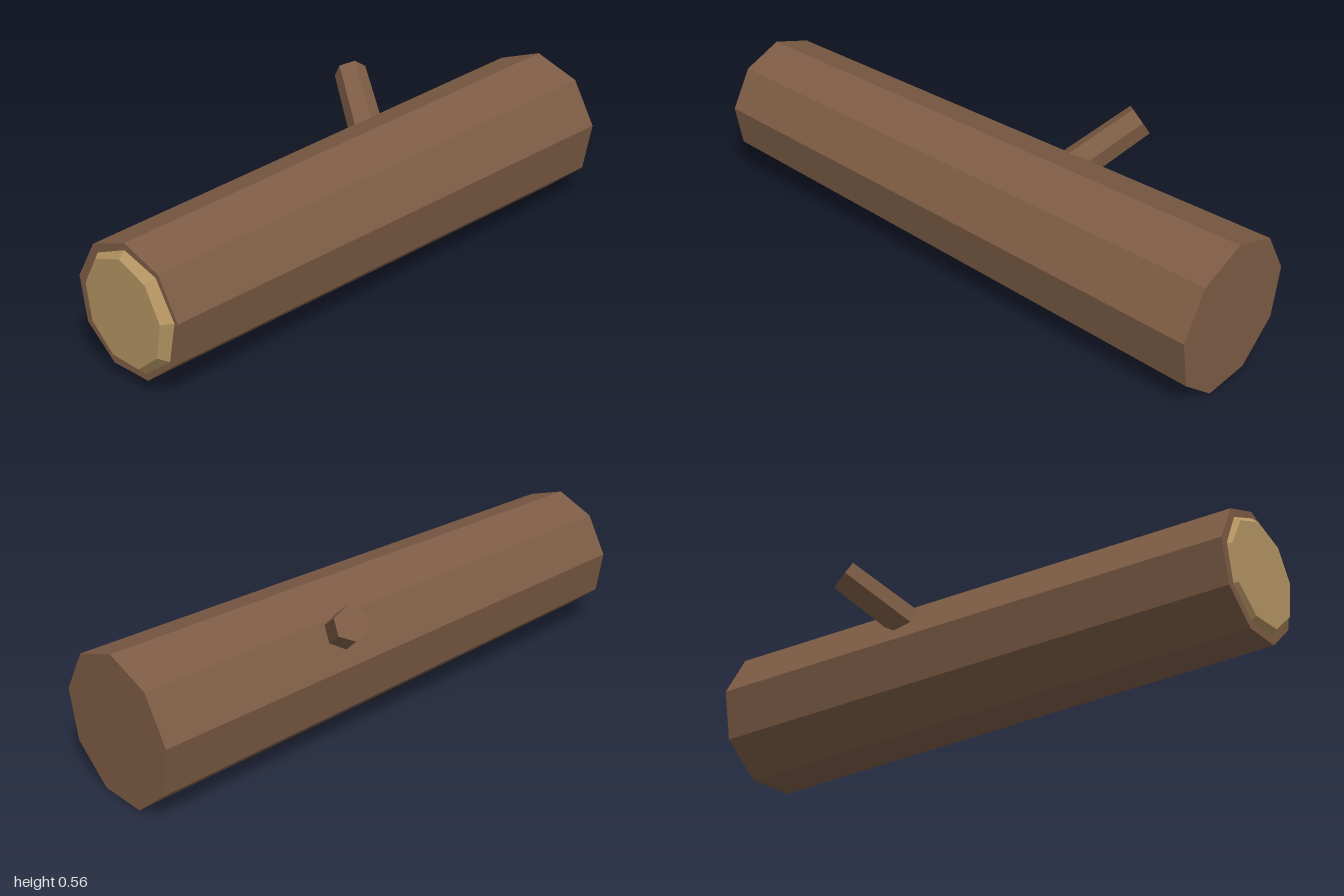
import * as THREE from 'three';

const bark = new THREE.MeshStandardMaterial({ color: 0x7d5c45, flatShading: true });
const wood = new THREE.MeshStandardMaterial({ color: 0xb59563, flatShading: true });

// Tapered prism between two points; its first corner points along "corner", turned by "twist"
function prism(name, material, sides, from, to, rFrom, rTo, corner, twist = 0) {
  const a = new THREE.Vector3(...from), b = new THREE.Vector3(...to);
  const y = b.clone().sub(a);
  const length = y.length();
  y.normalize();
  const x = new THREE.Vector3().crossVectors(y, new THREE.Vector3(...corner)).normalize();
  const z = new THREE.Vector3().crossVectors(x, y);
  const geometry = new THREE.CylinderGeometry(rTo, rFrom, length, sides, 1, false, twist);
  const mesh = new THREE.Mesh(geometry, material);
  mesh.name = name;
  mesh.quaternion.setFromRotationMatrix(new THREE.Matrix4().makeBasis(x, y, z));
  mesh.position.copy(a).add(b).multiplyScalar(0.5);
  return mesh;
}

export function createModel() {
  const group = new THREE.Group();
  group.name = 'log';
  const up = [0, 1, 0];

  // Nine-sided trunk, thicker at the back and slightly askew
  group.add(prism('trunk', bark, 9, [0.024, 0.244, -0.988], [0.115, 0.258, 0.98], 0.257, 0.219, up));

  // Bevelled pale wood on the cut front end, facing straight forward
  group.add(prism('cutEnd', wood, 9, [0.115, 0.258, 0.965], [0.115, 0.258, 1], 0.21, 0.175, up));

  // Six-sided branch stub, rooted inside the trunk
  const tip = [-0.3015, 0.52, -0.346];
  const root = [tip[0] + 0.236, tip[1] - 0.168, tip[2] + 0.137];
  group.add(prism('branch', bark, 6, root, tip, 0.061, 0.056, [0.58, 0.815, 0], -0.13));

  return group;
}
